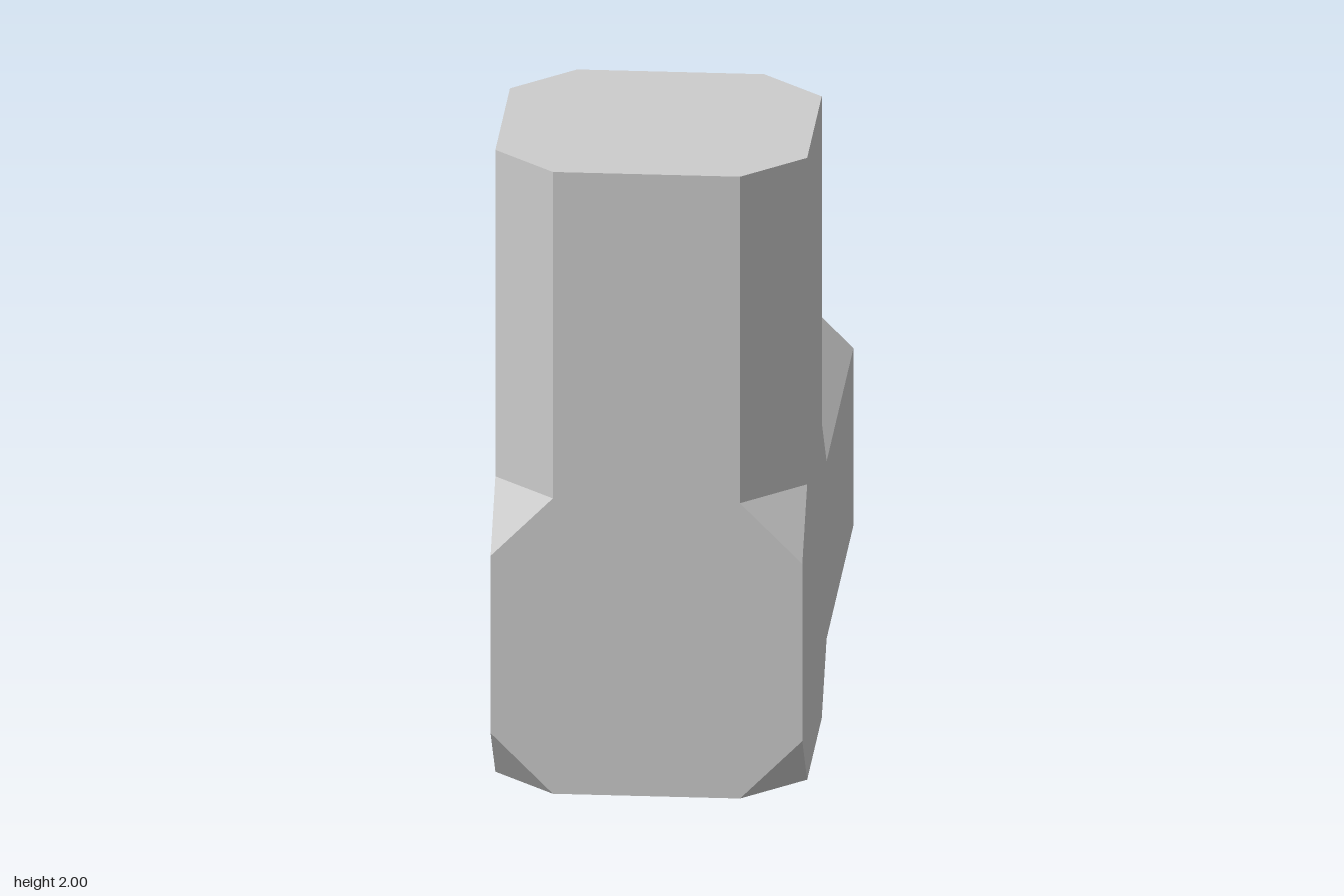
import * as THREE from 'three';

const R = 0.475;  // half width of the pipe
const Q = 0.285;  // half width of each flat side
const REACH = 1.525; // hub centre to arm tip

// Chamfered square, counter-clockwise
const OCTAGON = [[R, -Q], [R, Q], [Q, R], [-Q, R], [-R, Q], [-R, -Q], [-Q, -R], [Q, -R]];

// Octagon facing along an axis (0 x, 1 y, 2 z) at a distance from the centre
function ring(axis, sign, distance) {
  return OCTAGON.map(([u, v]) => {
    const p = [0, 0, 0];
    p[axis] = sign * distance;
    p[(axis + 1) % 3] = u;
    p[(axis + 2) % 3] = sign * v;
    return p;
  });
}

// Flat-shaded geometry from a list of convex polygons
function fromPolygons(polygons) {
  const positions = [];
  for (const poly of polygons) {
    for (let i = 1; i < poly.length - 1; i++) positions.push(...poly[0], ...poly[i], ...poly[i + 1]);
  }
  const geometry = new THREE.BufferGeometry();
  geometry.setAttribute('position', new THREE.Float32BufferAttribute(positions, 3));
  geometry.computeVertexNormals();
  return geometry;
}

// Cube with cut corners, left open where the two arms join
function hubGeometry() {
  const polygons = [[0, 1], [0, -1], [1, -1], [2, 1]].map(([axis, sign]) => ring(axis, sign, R));
  for (const x of [-1, 1]) for (const y of [-1, 1]) for (const z of [-1, 1]) {
    const corner = [[Q * x, R * y, R * z], [R * x, Q * y, R * z], [R * x, R * y, Q * z]];
    polygons.push(x * y * z > 0 ? corner : corner.reverse());
  }
  return fromPolygons(polygons);
}

// Octagonal prism with a closed tip
function armGeometry(axis, sign) {
  const base = ring(axis, sign, R);
  const tip = ring(axis, sign, REACH);
  const sides = base.map((p, i) => {
    const j = (i + 1) % base.length;
    return [p, base[j], tip[j], tip[i]];
  });
  return fromPolygons([...sides, tip]);
}

export function createModel() {
  const group = new THREE.Group();
  group.name = 'elbowPipe';
  const grey = new THREE.MeshStandardMaterial({ color: 0xcccccc });
  grey.name = 'light grey';
  grey.flatShading = true;

  const add = (name, geometry) => {
    const mesh = new THREE.Mesh(geometry, grey);
    mesh.name = name;
    mesh.position.set(0, R, 1 - R);
    group.add(mesh);
  };
  add('cornerHub', hubGeometry());
  add('upperArm', armGeometry(1, 1));
  add('backArm', armGeometry(2, -1));
  return group;
}
